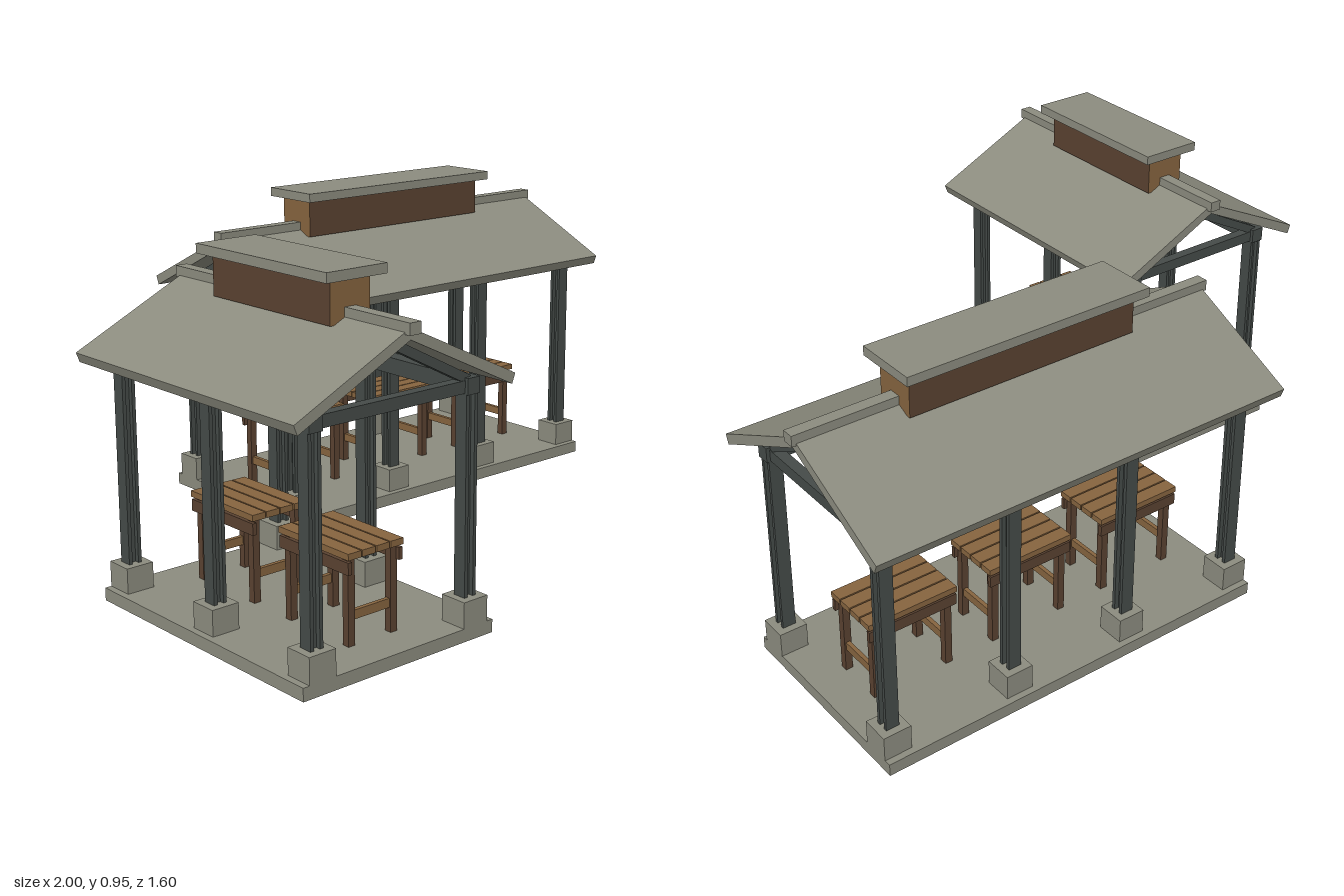
import * as THREE from 'three';

const mat = (name, color) => {
  const m = new THREE.MeshStandardMaterial({ color });
  m.name = name;
  return m;
};

export function createModel() {
  const concrete = mat('concrete', 0x8c8c7f);
  const steel = mat('darkSteel', 0x454b48);
  const wood = mat('wood', 0x86643f);
  const darkWood = mat('darkWood', 0x5a4231);

  const box = (parent, name, m, w, h, d, x, y, z) => {
    const mesh = new THREE.Mesh(new THREE.BoxGeometry(w, h, d), m);
    mesh.name = name;
    mesh.position.set(x, y, z);
    parent.add(mesh);
    return mesh;
  };

  // Extrude an outline in x/y, centred along z
  const extrude = (parent, name, m, pts, depth) => {
    const shape = new THREE.Shape(pts.map(([x, y]) => new THREE.Vector2(x, y)));
    const geo = new THREE.ExtrudeGeometry(shape, { depth, bevelEnabled: false });
    geo.translate(0, 0, -depth / 2);
    const mesh = new THREE.Mesh(geo, m);
    mesh.name = name;
    parent.add(mesh);
    return mesh;
  };

  // Slatted table, long side along z
  const makeTable = (z) => {
    const t = new THREE.Group();
    t.name = 'table';
    for (let i = 0; i < 4; i++)
      box(t, 'topSlat', wood, 0.041, 0.017, 0.268, (i - 1.5) * 0.045, 0.271, 0);
    for (const s of [-1, 1]) {
      box(t, 'apron', darkWood, 0.012, 0.032, 0.265, s * 0.081, 0.24, 0);
      box(t, 'stretcher', wood, 0.15, 0.024, 0.012, 0, 0.112, s * 0.111);
      for (const e of [-1, 1])
        box(t, 'leg', darkWood, 0.021, 0.232, 0.021, s * 0.068, 0.147, e * 0.111);
    }
    t.position.z = z;
    return t;
  };

  // Gabled shelter with its ridge along z
  const makeShelter = (name, { slab, roof, ridge, vent, lid, posts, tables }) => {
    const g = new THREE.Group();
    g.name = name;
    box(g, 'slab', concrete, 0.61, 0.035, slab, 0, 0.0175, 0);

    // Frames: footings, H-section posts, tie beam and rafters
    const postX = 0.246;
    for (const z of posts) {
      for (const s of [-1, 1]) {
        box(g, 'footing', concrete, 0.08, 0.07, 0.08, s * postX, 0.07, z);
        const post = new THREE.Group();
        post.name = 'post';
        post.position.set(s * postX, 0, z);
        for (const f of [-1, 1])
          box(post, 'flange', steel, 0.01, 0.54, 0.038, f * 0.014, 0.37, 0);
        box(post, 'web', steel, 0.02, 0.54, 0.012, 0, 0.37, 0);
        g.add(post);
        const rise = 0.125, run = 0.24;
        const rafter = box(g, 'rafter', steel, Math.hypot(rise, run), 0.024, 0.026,
          s * run / 2, 0.664 + rise / 2, z);
        rafter.rotation.z = -s * Math.atan2(rise, run);
      }
      box(g, 'tieBeam', steel, 0.49, 0.032, 0.03, 0, 0.648, z);
    }
    const span = posts[posts.length - 1] - posts[0];
    for (const s of [-1, 1])
      box(g, 'eaveBeam', steel, 0.04, 0.042, span + 0.05, s * postX, 0.65, 0);

    // Roof, ridge cap and raised vent
    extrude(g, 'roof', concrete, [
      [0, 0.839], [-0.343, 0.674], [-0.333, 0.648],
      [0, 0.81], [0.333, 0.648], [0.343, 0.674],
    ], roof);
    box(g, 'ridgeCap', concrete, 0.035, 0.03, ridge, 0, 0.84, 0);
    box(g, 'ventHouse', [darkWood, darkWood, wood, wood, wood, wood],
      0.124, 0.115, vent, 0, 0.872, 0);
    box(g, 'ventLid', concrete, 0.188, 0.026, lid, 0, 0.938, 0);

    for (const z of tables) g.add(makeTable(z));
    return g;
  };

  const model = new THREE.Group();
  model.name = 'picnicShelters';

  const small = makeShelter('smallShelter', {
    slab: 0.83, roof: 0.886, ridge: 0.92, vent: 0.462, lid: 0.515,
    posts: [-0.375, 0, 0.375], tables: [-0.187, 0.187],
  });
  small.position.set(-0.657, 0, 0.338);

  const large = makeShelter('largeShelter', {
    slab: 1.2, roof: 1.266, ridge: 1.29, vent: 0.695, lid: 0.745,
    posts: [-0.561, -0.187, 0.187, 0.561], tables: [-0.374, 0, 0.374],
  });
  large.rotation.y = Math.PI / 2;
  large.position.set(0.35, 0, -0.457);

  model.add(small, large);
  return model;
}
